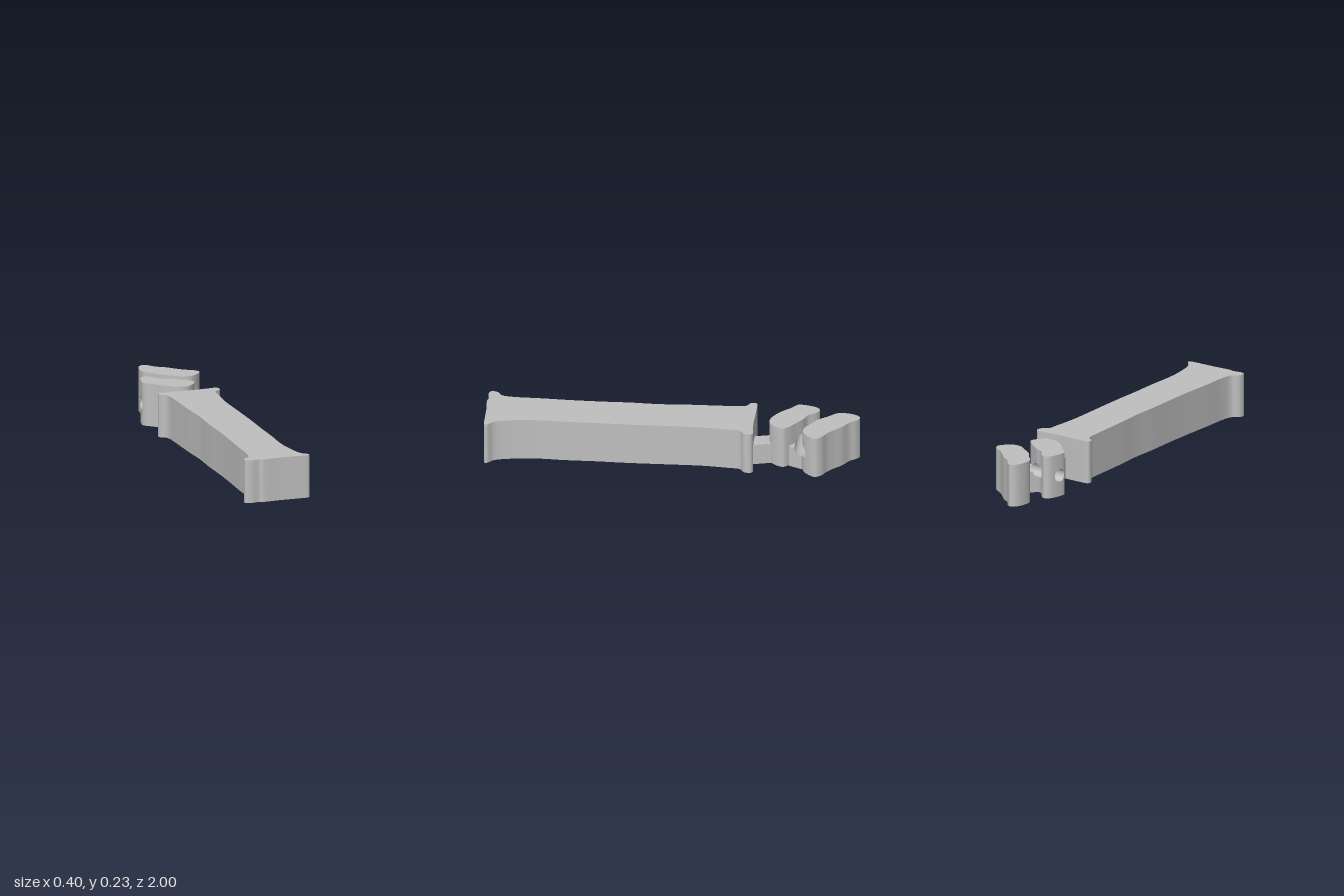
import * as THREE from 'three';
import { mergeGeometries, toCreasedNormals } from 'three/addons/utils/BufferGeometryUtils.js';

const HEIGHT = 0.235, HALF = 0.117;         // full and half thickness
const BORE = { y: 0.117, z: -0.698, r: 0.035 }; // cross hole running along x

// closed smooth plan outline from [x, z] points
function smooth(points, n) {
  const curve = new THREE.CatmullRomCurve3(points.map(([x, z]) => new THREE.Vector3(x, 0, z)), true);
  return curve.getPoints(n).slice(0, -1).map(p => [p.x, p.z]);
}

// plan outline raised from the ground to a height
function raise(outline, height) {
  const shape = new THREE.Shape(outline.map(([x, z]) => new THREE.Vector2(x, -z)));
  const geo = new THREE.ExtrudeGeometry(shape, { depth: height, bevelEnabled: false });
  geo.rotateX(-Math.PI / 2);
  geo.deleteAttribute('uv');
  return geo;
}

// keep the side of the outline where sign * (z - cut) > 0
function clip(outline, cut, sign) {
  const out = [];
  outline.forEach((a, i) => {
    const b = outline[(i + 1) % outline.length];
    const da = sign * (a[1] - cut), db = sign * (b[1] - cut);
    if (da > 0) out.push(a);
    if (da * db < 0) out.push([a[0] + (b[0] - a[0]) * da / (da - db), cut]);
  });
  return out;
}

// left and right limits of the outline at one z
function span(outline, z) {
  const xs = [];
  outline.forEach((a, i) => {
    const b = outline[(i + 1) % outline.length];
    if ((a[1] - z) * (b[1] - z) <= 0 && a[1] !== b[1]) xs.push(a[0] + (b[0] - a[0]) * (z - a[1]) / (b[1] - a[1]));
  });
  return [Math.min(...xs), Math.max(...xs)];
}

// rectangular sections lofted along z
function loft(outline, stations, low, high) {
  const pos = [], index = [];
  stations.forEach((z, i) => {
    const [l, r] = span(outline, z), y0 = low(z), y1 = high(z);
    pos.push(l, y0, z, r, y0, z, r, y1, z, l, y1, z);
    if (!i) return;
    for (let k = 0; k < 4; k++) {
      const a = 4 * (i - 1) + k, b = 4 * (i - 1) + (k + 1) % 4;
      index.push(a, b, b + 4, a, b + 4, a + 4);
    }
  });
  const e = 4 * (stations.length - 1);
  index.push(e, e + 1, e + 2, e, e + 2, e + 3);
  const geo = new THREE.BufferGeometry();
  geo.setAttribute('position', new THREE.Float32BufferAttribute(pos, 3));
  geo.setIndex(index);
  geo.computeVertexNormals();
  return geo.toNonIndexed();
}

// raised outline with the round cross hole taken out
function bored(outline, height) {
  const { y, z: zc, r } = BORE, parts = [];
  for (const sign of [-1, 1]) {
    const piece = clip(outline, zc + sign * r, sign);
    if (piece.length > 2) parts.push(raise(piece, height));
  }
  const zs = outline.map(p => p[1]);
  const zMin = Math.min(...zs) + 0.0005, zMax = Math.max(...zs) - 0.0005;
  const stations = [];
  for (let i = 0; i <= 24; i++) {
    const z = Math.min(zMax, Math.max(zMin, zc - r * Math.cos(Math.PI * i / 24)));
    if (!stations.length || z > stations[stations.length - 1]) stations.push(z);
  }
  const half = z => Math.sqrt(Math.max(0, r * r - (z - zc) ** 2));
  parts.push(loft(outline, stations, () => 0, z => y - half(z)));
  if (height > y) parts.push(loft(outline, stations, z => y + half(z), () => height));
  return mergeGeometries(parts);
}

export function createModel() {
  const group = new THREE.Group();
  const grey = new THREE.MeshStandardMaterial({ color: 0xbfbfbf });
  grey.name = 'plain grey';
  const add = (name, geo) => {
    const mesh = new THREE.Mesh(toCreasedNormals(geo, 0.6), grey);
    mesh.name = name;
    group.add(mesh);
  };

  // long shaft with flared ends
  add('shaft', raise(smooth([
    [-0.185, -0.435], [-0.127, -0.44], [-0.05, -0.44], [0.03, -0.44], [0.095, -0.445], [0.138, -0.448],
    [0.153, -0.434], [0.148, -0.402], [0.117, -0.375], [0.111, -0.317], [0.103, -0.185], [0.106, -0.053],
    [0.111, 0.08], [0.116, 0.238], [0.117, 0.397], [0.122, 0.556], [0.122, 0.725], [0.138, 0.847],
    [0.164, 0.937], [0.196, 0.971], [0.196, 0.985], [0.138, 0.99], [0.032, 0.992], [-0.069, 0.998],
    [-0.085, 0.992], [-0.138, 0.998], [-0.164, 0.985], [-0.159, 0.952], [-0.127, 0.926], [-0.116, 0.873],
    [-0.116, 0.714], [-0.114, 0.556], [-0.116, 0.397], [-0.122, 0.238], [-0.122, 0.08], [-0.132, -0.053],
    [-0.138, -0.185], [-0.143, -0.291], [-0.148, -0.36], [-0.159, -0.386], [-0.185, -0.402], [-0.191, -0.418],
  ], 240), HEIGHT));

  // low bridge between the shaft and the first bone
  add('shaftBridge', raise([[-0.07, -0.56], [0.025, -0.56], [0.06, -0.43], [-0.037, -0.43]], HALF));

  // two slanted bean-shaped bones
  add('frontBone', bored(smooth([
    [-0.15, -0.777], [-0.175, -0.762], [-0.196, -0.698], [-0.196, -0.656], [-0.155, -0.619], [-0.116, -0.577],
    [-0.074, -0.545], [-0.032, -0.525], [0.011, -0.524], [0.053, -0.561], [0.068, -0.603], [0.042, -0.635],
    [0, -0.667], [-0.042, -0.698], [-0.085, -0.717], [-0.122, -0.762],
  ], 120), HEIGHT));
  add('rearBone', bored(smooth([
    [-0.09, -0.999], [-0.116, -0.979], [-0.133, -0.915], [-0.127, -0.873], [-0.085, -0.825], [-0.048, -0.778],
    [0, -0.746], [0.048, -0.715], [0.095, -0.712], [0.143, -0.751], [0.158, -0.783], [0.138, -0.815],
    [0.095, -0.841], [0.058, -0.873], [0.016, -0.915], [-0.032, -0.947], [-0.063, -0.984],
  ], 120), HEIGHT));

  // low bridge between the bones, grooved by the cross hole
  add('boneBridge', bored([[-0.062, -0.705], [-0.02, -0.77], [0.083, -0.705], [0.053, -0.634], [0.02, -0.634]], HALF));
  return group;
}
